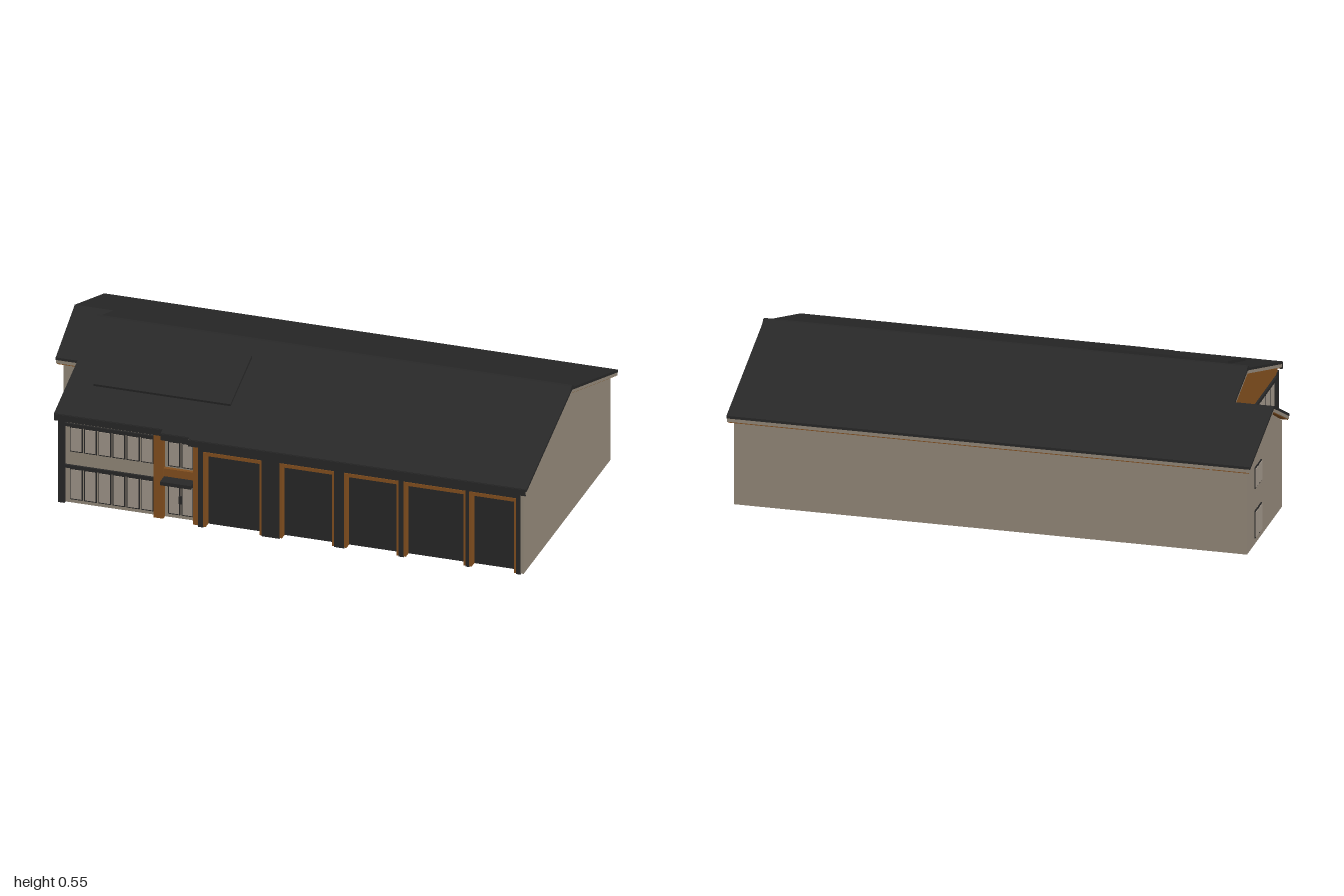
import * as THREE from 'three';

const mat = (name, color) => Object.assign(new THREE.MeshStandardMaterial({ color }), { name });

export function createModel() {
  const root = new THREE.Group();
  root.name = 'garageBuilding';
  const plaster = mat('beigePlaster', 0x94897a);
  const dark = mat('charcoal', 0x282828);
  const wood = mat('brownWood', 0x84501f);
  const pane = mat('paleWindow', 0xa1968a);

  // Box given by its min and max on each axis
  const box = (name, m, x0, x1, y0, y1, z0, z1, parent = root) => {
    const mesh = new THREE.Mesh(new THREE.BoxGeometry(x1 - x0, y1 - y0, z1 - z0), m);
    mesh.position.set((x0 + x1) / 2, (y0 + y1) / 2, (z0 + z1) / 2);
    mesh.name = name;
    parent.add(mesh);
    return mesh;
  };
  // (z, y) profile extruded from x0 to x1
  const prism = (name, m, x0, x1, pts) => {
    const shape = new THREE.Shape(pts.map(p => new THREE.Vector2(p[0], p[1])));
    const geo = new THREE.ExtrudeGeometry(shape, { depth: x1 - x0, bevelEnabled: false });
    geo.rotateY(-Math.PI / 2);
    const mesh = new THREE.Mesh(geo, m);
    mesh.position.x = x1;
    mesh.name = name;
    root.add(mesh);
  };
  // Layered roof: dark covering, plaster fascia, wooden soffit
  const roof = (name, x0, x1, line) => {
    const layer = (part, m, top, bottom, a, b) => prism(name + part, m, a, b, [
      ...line.map(([z, y]) => [z, y - top]),
      ...line.slice().reverse().map(([z, y]) => [z, y - bottom])]);
    layer('Covering', dark, 0, 0.010, x0, x1);
    layer('Fascia', plaster, 0.010, 0.023, x0 + 0.002, x1 - 0.002);
    layer('Soffit', wood, 0.023, 0.026, x0 + 0.006, x1 - 0.006);
  };
  const slope = z => 0.538 - Math.abs(z) * 0.33;
  const wall = z => slope(z) - 0.025;

  // Main walls: recessed front, full-depth end wall and small side wing
  prism('mainBody', plaster, -0.83, 0.96,
    [[-0.5, 0.005], [0.465, 0.005], [0.465, wall(0.465)], [0, wall(0)], [-0.5, wall(0.5)]]);
  prism('endWall', plaster, 0.958, 0.97,
    [[-0.5, 0.005], [0.5, 0.005], [0.5, wall(0.5)], [0, wall(0)], [-0.5, wall(0.5)]]);
  prism('wingBody', plaster, -0.98, -0.829,
    [[-0.5, 0.005], [0, 0.005], [0, 0.345], [-0.19, 0.448], [-0.5, wall(0.5)]]);
  prism('woodGable', wood, -0.838, -0.828,
    [[-0.2, 0.44], [0, 0.34], [0.465, 0.34], [0.465, wall(0.465)], [0, wall(0)], [-0.2, wall(0.2)]]);

  // Roof pieces, with a shorter front eave over the glazed part
  roof('rearRoof', -0.85, 0.99, [[-0.53, slope(0.53)], [0, slope(0)]]);
  [[-0.85, -0.43, 0.495], [-0.43, -0.32, 0.515], [-0.32, 0.99, 0.525]].forEach(([a, b, z]) => {
    roof('frontRoof', a, b, [[0, slope(0)], [z, slope(z)]]);
    box('frontGutter', dark, a, b - 0.004, slope(z) - 0.027, slope(z) - 0.002, z - 0.008, z + 0.003);
  });
  roof('wingRoof', -1, -0.849, [[-0.53, slope(0.53)], [-0.19, slope(0.19)], [0.03, 0.362]]);
  prism('ridgeCap', dark, -0.85, 0.99, [[-0.022, 0.532], [0.022, 0.532], [0.006, 0.545], [-0.006, 0.545]]);
  prism('roofPanel', dark, -0.75, -0.22, [[0.335, 0.426], [0.337, 0.436], [0.092, 0.521], [0.09, 0.506]]);

  // Garage bays: recessed doors between pillars, with wooden reveals
  const doors = [[-0.27, -0.045], [0.025, 0.235], [0.275, 0.485], [0.505, 0.745], [0.76, 0.94]];
  box('garageHeader', dark, -0.29, 0.958, 0.308, 0.35, 0.46, 0.5);
  let edge = -0.29;
  [...doors, [0.958, 0.958]].forEach(([a, b]) => {
    box('pillar', dark, edge, a, 0, 0.31, 0.46, 0.5);
    edge = b;
  });
  doors.forEach(([a, b]) => {
    box('garageDoor', dark, a, b, 0.005, 0.305, 0.46, 0.472);
    box('leftReveal', wood, a, a + 0.01, 0.005, 0.308, 0.465, 0.503);
    box('rightReveal', wood, b - 0.006, b, 0.005, 0.308, 0.465, 0.503);
    box('headReveal', wood, a, b, 0.296, 0.31, 0.465, 0.503);
  });

  // A row of panes in dark frames, on a wall facing +z
  const windows = (name, parent, x0, x1, y0, y1, count, z) => {
    const g = new THREE.Group();
    g.name = name;
    parent.add(g);
    const w = (x1 - x0) / count;
    for (let i = 0; i < count; i++) {
      const a = x0 + i * w;
      box('frame', dark, a + 0.003, a + w - 0.003, y0, y1, z - 0.002, z + 0.004, g);
      box('pane', pane, a + 0.007, a + w - 0.007, y0 + 0.005, y1 - 0.005, z, z + 0.007, g);
    }
  };
  // Glazed corner, front and side
  const side = new THREE.Group();
  side.name = 'sideGlazing';
  side.rotation.y = -Math.PI / 2;
  root.add(side);
  [[0.02, 0.148], [0.215, 0.318]].forEach(([y0, y1]) => {
    windows('frontWindows', root, -0.8, -0.47, y0, y1, 6, 0.466);
    windows('stairWindows', root, -0.42, -0.315, y0, y1, 2, 0.466);
    windows('sideWindows', side, 0.05, 0.43, y0, y1, 6, 0.831);
    windows('wingSideWindows', side, -0.4, -0.3, y0 + 0.01, y1 - 0.01, 2, 0.98);
    windows('wingFrontWindow', root, -0.9, -0.862, y0 + 0.01, y1 - 0.01, 1, 0.001);
    box('frontSill', dark, -0.82, -0.465, y1, y1 + 0.012, 0.46, 0.474);
    box('sideSill', dark, -0.84, -0.826, y1, y1 + 0.012, 0.02, 0.47);
  });
  box('cornerPost', dark, -0.84, -0.815, 0.005, 0.345, 0.45, 0.478);

  // Wooden entrance surround and canopy
  box('entrancePost', wood, -0.468, -0.43, 0.005, 0.35, 0.46, 0.487);
  box('entrancePost', wood, -0.31, -0.29, 0.005, 0.35, 0.46, 0.498);
  box('entranceBand', wood, -0.43, -0.31, 0.176, 0.208, 0.46, 0.48);
  box('entranceHead', wood, -0.43, -0.31, 0.322, 0.35, 0.46, 0.48);
  box('canopy', dark, -0.43, -0.31, 0.16, 0.174, 0.46, 0.525);
  box('doorHandle', dark, -0.373, -0.362, 0.07, 0.1, 0.47, 0.478);
  return root;
}
